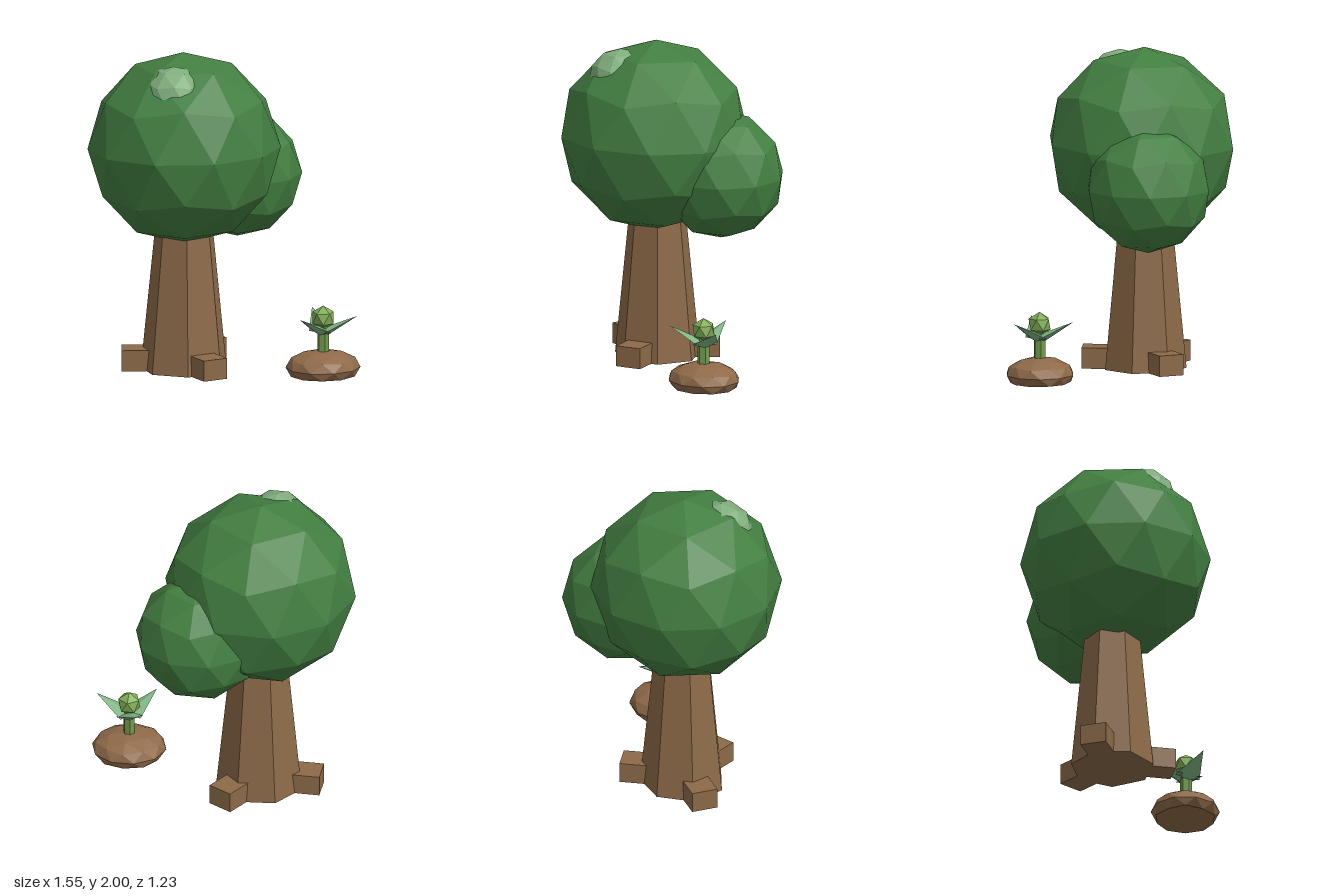
import * as THREE from 'three';

const mat = (color) => new THREE.MeshStandardMaterial({ color, flatShading: true });

// Low-poly ball with a vertex at each pole and an upper-ring vertex towards +x
function ball(radius, detail) {
  return new THREE.IcosahedronGeometry(radius, detail)
    .rotateX(-Math.atan((1 + Math.sqrt(5)) / 2))
    .rotateY(Math.PI / 2);
}

export function createModel() {
  const model = new THREE.Group();
  const bark = mat(0x8c6a48);
  const soil = mat(0x8f6a49);
  const foliage = mat(0x437f41);
  const highlight = mat(0x80ad7c);
  const stemGreen = mat(0x719a4c);
  const budGreen = mat(0x82ae57);
  const leafGreen = mat(0x7fb583);

  const add = (parent, name, geometry, material, x, y, z) => {
    const mesh = new THREE.Mesh(geometry, material);
    mesh.name = name;
    mesh.position.set(x, y, z);
    parent.add(mesh);
    return mesh;
  };

  // Tree: seven-sided tapering trunk
  const tree = new THREE.Group();
  tree.name = 'tree';
  model.add(tree);
  const trunk = new THREE.CylinderGeometry(0.172, 0.273, 1, 7, 1, false, Math.PI / 2);
  add(tree, 'trunk', trunk.scale(1, 1, 0.95), bark, -0.197, 0.5, -0.05);

  // Three blocky roots around the trunk
  for (const degrees of [78, 198, 318]) {
    const root = new THREE.BoxGeometry(0.28, 0.13, 0.165).translate(0.245, 0.065, 0);
    add(tree, 'root', root, bark, -0.2, 0, -0.05).rotation.y = -THREE.MathUtils.degToRad(degrees);
  }

  // Canopy: large crown, smaller side crown and a pale patch
  const crown = add(tree, 'mainCrown', ball(0.6, 1), foliage, -0.205, 1.4, -0.03);
  crown.scale.set(0.995, 1, 0.98);
  crown.rotation.x = -0.03;
  add(tree, 'sideCrown', ball(0.4, 1), foliage, 0.195, 1.18, -0.19).scale.z = 0.97;
  add(tree, 'crownHighlight', ball(0.2, 1), highlight, -0.33, 1.76, 0.145);

  // Seedling: flattened soil mound, cut level with the ground
  const seedling = new THREE.Group();
  seedling.name = 'seedling';
  seedling.position.set(0.553, 0, 0.405);
  model.add(seedling);
  const mound = ball(1, 1).scale(0.233, 0.108, 0.213).translate(0, 0.052, 0);
  const p = mound.attributes.position;
  for (let i = 0; i < p.count; i++) p.setY(i, Math.max(p.getY(i), 0));
  mound.computeVertexNormals();
  add(seedling, 'soilMound', mound, soil, 0, 0, -0.003);

  // Stem and bud
  add(seedling, 'stem', new THREE.CylinderGeometry(0.037, 0.037, 0.2, 6), stemGreen, 0, 0.22, 0);
  add(seedling, 'bud', ball(0.076, 0), budGreen, 0, 0.364, 0);

  // Three flat pointed leaves rising outwards
  for (const degrees of [30, 150, 270]) {
    const leaf = new THREE.ConeGeometry(0.085, 0.22, 4)
      .translate(0, 0.11, 0)
      .scale(1, 1, 0.3)
      .rotateX(THREE.MathUtils.degToRad(62))
      .translate(0, 0.282, 0.022)
      .rotateY(THREE.MathUtils.degToRad(90 - degrees));
    add(seedling, 'leaf', leaf, leafGreen, 0, 0, 0);
  }
  return model;
}
